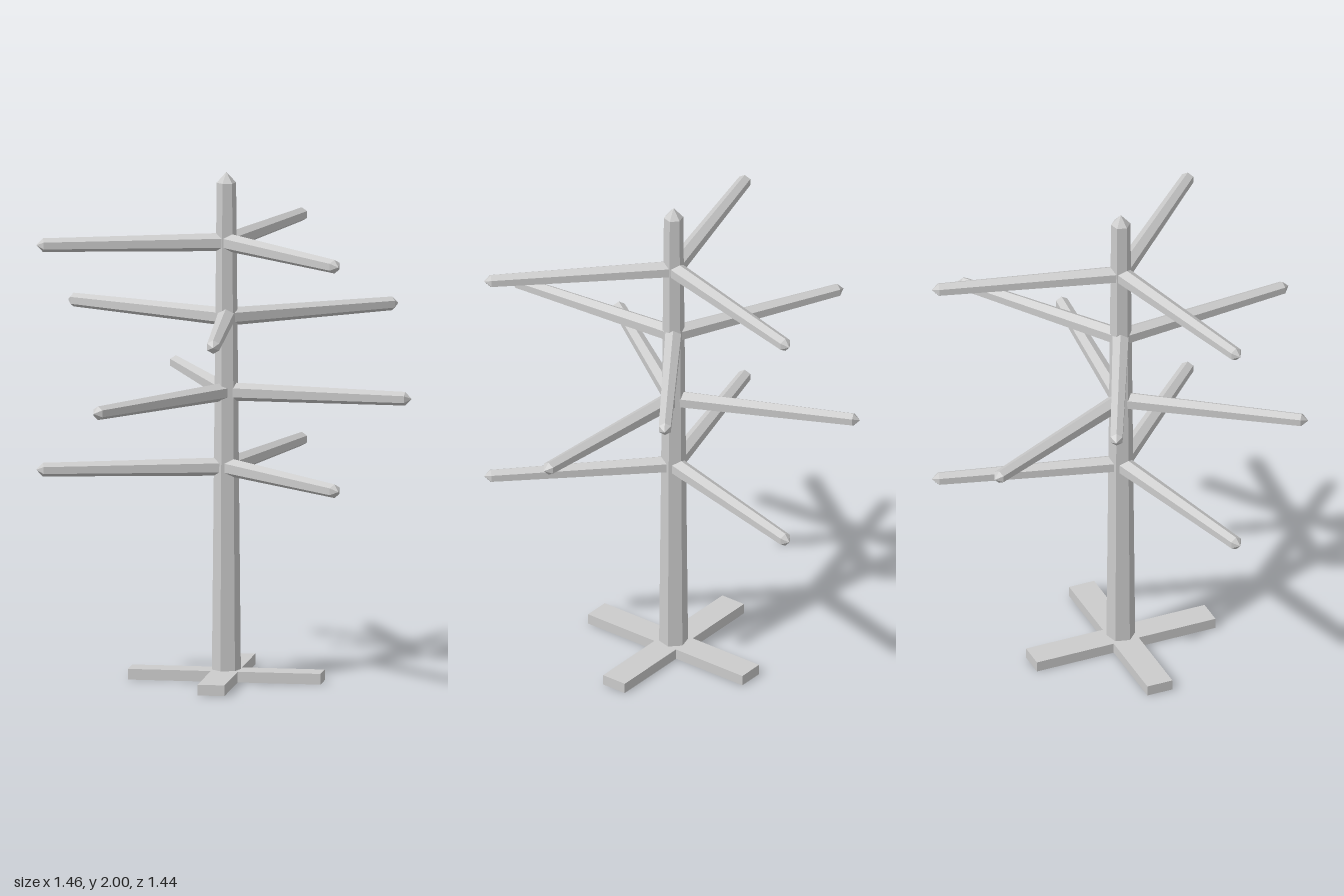
import * as THREE from 'three';

const material = new THREE.MeshStandardMaterial({ color: 0xcccccc, flatShading: true });

// Six-sided tapered pole along +y with a pointed end
function taperedPole(length, baseRadius, endRadius, pointLength) {
  const profile = [
    [0, 0],
    [baseRadius, 0],
    [endRadius, length - pointLength],
    [0, length],
  ].map(([r, y]) => new THREE.Vector2(r, y));
  return new THREE.LatheGeometry(profile, 6);
}

function addPart(parent, name, geometry) {
  const mesh = new THREE.Mesh(geometry, material);
  mesh.name = name;
  parent.add(mesh);
  return mesh;
}

export function createModel() {
  const model = new THREE.Group();
  model.name = 'branchingStand';

  // Everything shares the trunk's axis, which sits slightly behind the centre
  const stand = new THREE.Group();
  stand.name = 'stand';
  stand.position.z = -0.02;
  model.add(stand);

  // Crossed foot planks
  for (const side of [1, -1]) {
    const plank = addPart(stand, 'footPlank', new THREE.BoxGeometry(0.757, 0.042, 0.106));
    plank.position.y = 0.021;
    plank.rotation.y = side * Math.PI / 4;
  }

  // Upright trunk
  addPart(stand, 'trunk', taperedPole(2, 0.057, 0.038, 0.042));

  // Four tiers of three arms, each tier turned 40 degrees from the one below
  const armGeometry = taperedPole(0.742, 0.036, 0.027, 0.026);
  [0.84, 1.136, 1.43, 1.724].forEach((height, tier) => {
    const ring = new THREE.Group();
    ring.name = 'armTier';
    ring.position.y = height;
    for (let i = 0; i < 3; i++) {
      const arm = addPart(ring, 'arm', armGeometry);
      arm.rotation.set(Math.PI / 2, THREE.MathUtils.degToRad(tier * 40 + i * 120), 0, 'YXZ');
    }
    stand.add(ring);
  });

  return model;
}
